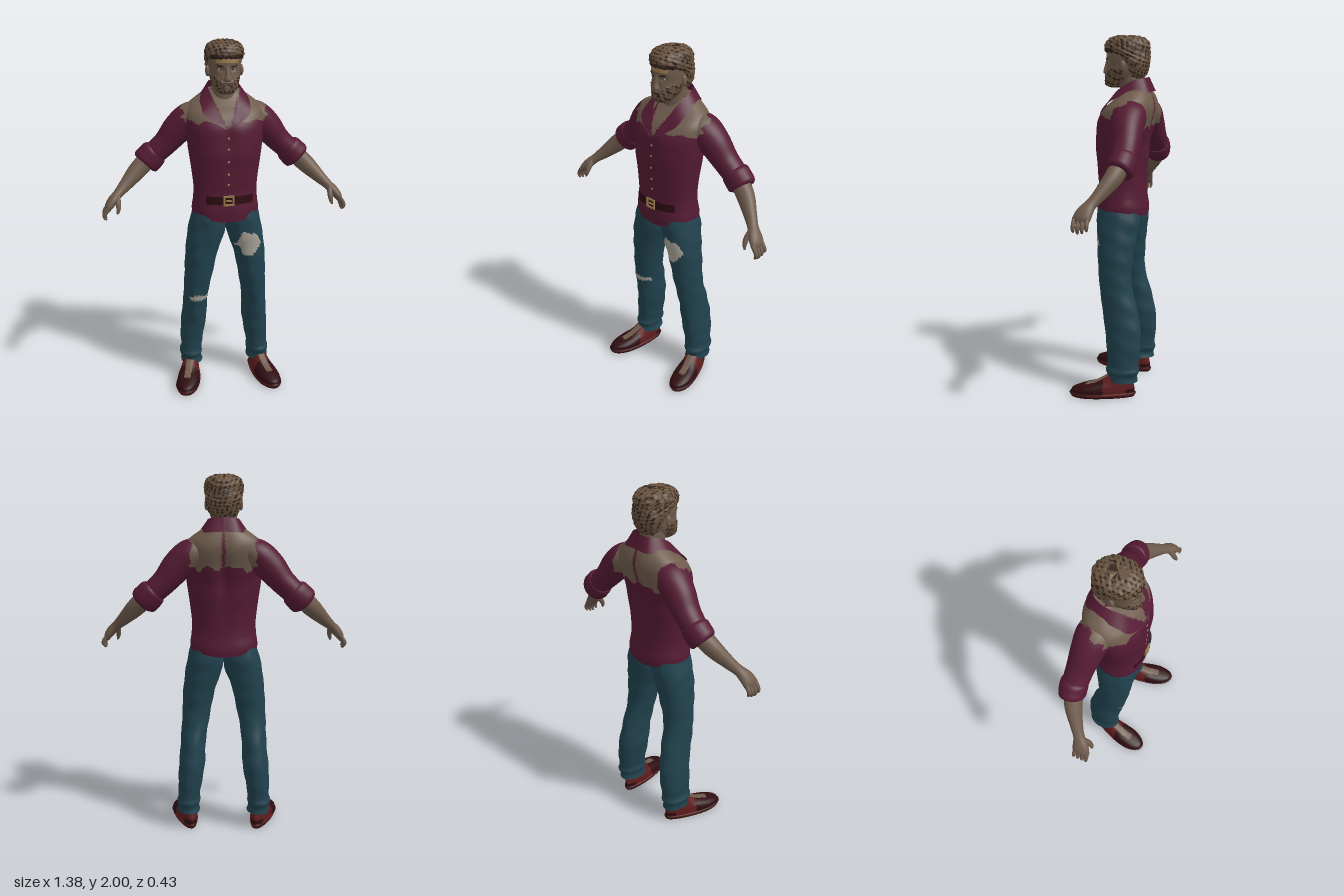
import * as THREE from 'three';

const mat = (name, color, side = THREE.FrontSide) =>
  Object.assign(new THREE.MeshStandardMaterial({ color, side }), { name });

const noise = (x, y, z, f = 1) =>
  (Math.sin(f * (53 * x + 17 * y)) + Math.sin(f * (61 * y - 29 * z) + 1) + Math.sin(f * (47 * z + 37 * x) + 2)) / 3;

// Smooth interpolation through rows of numbers
function spline(rows, sub) {
  const out = [], at = i => rows[Math.max(0, Math.min(rows.length - 1, i))];
  for (let i = 0; i < rows.length - 1; i++)
    for (let s = 0; s < sub; s++) {
      const u = s / sub;
      out.push(at(i).map((b, k) => {
        const a = at(i - 1)[k], c = at(i + 1)[k], d = at(i + 2)[k];
        return b + 0.5 * u * (c - a + u * (2 * a - 5 * b + 4 * c - d + u * (3 * (b - c) + d - a)));
      }));
    }
  out.push(at(rows.length - 1));
  return out;
}

// Closed skin over rows [x, y, z, radiusU, radiusV]; level rings, or rings across the path
function loft(rows, { seg = 32, sub = 6, power = 1, across = false, shape = null } = {}) {
  const R = spline(rows, sub), pos = [], idx = [];
  const centre = R.map(r => new THREE.Vector3(r[0], r[1], r[2]));
  const bend = v => Math.sign(v) * Math.abs(v) ** power;
  R.forEach((r, i) => {
    const T = new THREE.Vector3(0, 1, 0), V = new THREE.Vector3(0, 0, 1);
    if (across) {
      T.subVectors(centre[Math.min(i + 1, R.length - 1)], centre[Math.max(i - 1, 0)]).normalize();
      V.addScaledVector(T, -T.z).normalize();
    }
    const U = T.clone().cross(V);
    for (let j = 0; j < seg; j++) {
      const t = j / seg * Math.PI * 2;
      const p = centre[i].clone().addScaledVector(U, r[3] * bend(Math.sin(t))).addScaledVector(V, r[4] * bend(Math.cos(t)));
      if (shape) shape(p, centre[i]);
      pos.push(p.x, p.y, p.z);
    }
  });
  for (let i = 0; i < R.length - 1; i++)
    for (let j = 0; j < seg; j++) {
      const a = i * seg + j, b = i * seg + (j + 1) % seg;
      idx.push(a, b, a + seg, b, b + seg, a + seg);
    }
  // End caps with their own corners, so their edges stay crisp
  for (const [row, flip] of [[0, true], [R.length - 1, false]]) {
    const base = pos.length / 3;
    for (let j = 0; j < seg * 3; j++) pos.push(pos[row * seg * 3 + j]);
    pos.push(...centre[row].toArray());
    for (let j = 0; j < seg; j++) {
      const a = base + j, b = base + (j + 1) % seg;
      idx.push(base + seg, flip ? b : a, flip ? a : b);
    }
  }
  const g = new THREE.BufferGeometry();
  g.setAttribute('position', new THREE.Float32BufferAttribute(pos, 3));
  g.setIndex(idx);
  g.computeVertexNormals();
  return g;
}

// Sort faces into material groups by a rule on the face centre
function paint(g, count, pick) {
  const p = g.attributes.position, idx = g.index.array, bins = Array.from({ length: count }, () => []);
  for (let i = 0; i < idx.length; i += 3) {
    const f = [idx[i], idx[i + 1], idx[i + 2]];
    const mid = k => f.reduce((s, v) => s + p.array[v * 3 + k], 0) / 3;
    bins[pick(mid(0), mid(1), mid(2))].push(...f);
  }
  g.setIndex(bins.flat());
  let start = 0;
  bins.forEach((b, m) => { g.addGroup(start, b.length, m); start += b.length; });
  return g;
}

export function createModel() {
  const skin = mat('skin', 0x6e5b4c), shirt = mat('shirt', 0x551b33), denim = mat('denim', 0x21424e);
  const bare = mat('worn patch', 0xa8a398), leather = mat('dark leather', 0x2e0d10), red = mat('red leather', 0x5e1d1e);
  const hair = mat('hair', 0x69533f), dark = mat('dark hair', 0x33231b), brass = mat('brass', 0x9a7a4c);
  const collarCloth = mat('collar cloth', 0x551b33, THREE.DoubleSide);
  const model = new THREE.Group();
  model.name = 'man';
  const add = (name, geo, material, parent = model) => {
    const m = new THREE.Mesh(geo, material);
    m.name = name;
    parent.add(m);
    return m;
  };

  // Shirt with torn shoulders and open neck
  const torn = (x, y, z) => {
    const n = noise(x, y, z, 1.3) * 0.022, ax = Math.abs(x);
    const back = THREE.MathUtils.clamp((-z - 0.06) / 0.1, 0, 1);
    return y > 1.575 - 0.075 * back + n && ax < 0.232 - 0.05 * back + n && (back > 0.3 ? ax > 0.006 : ax > 0.07);
  };
  const torso = loft([
    [0, 1.015, -0.022, 0.188, 0.137], [0, 1.06, -0.022, 0.188, 0.138], [0, 1.13, -0.02, 0.181, 0.132],
    [0, 1.2, -0.02, 0.178, 0.128], [0, 1.32, -0.021, 0.192, 0.136], [0, 1.42, -0.024, 0.206, 0.143],
    [0, 1.5, -0.035, 0.212, 0.15], [0, 1.56, -0.05, 0.218, 0.151], [0, 1.61, -0.068, 0.216, 0.138],
    [0, 1.65, -0.088, 0.195, 0.112], [0, 1.69, -0.1, 0.145, 0.086], [0, 1.73, -0.105, 0.085, 0.062]],
  { seg: 112, sub: 9, power: 0.88, shape: (p, c) => {
    const mid = Math.exp(-((p.x / 0.035) ** 2));
    if (p.z < c.z) p.z += 0.018 * mid * Math.exp(-(((p.y - 1.48) / 0.16) ** 2));
    else p.z -= 0.006 * mid * Math.exp(-(((p.y - 1.48) / 0.09) ** 2));
    p.z += 0.003 * noise(p.x, p.y, p.z, 0.7);
    if (p.y < 1.12) p.y += (1.12 - p.y) * 3.5 * p.x * p.x / 0.36;
  } });
  add('shirt', paint(torso, 2, (x, y, z) =>
    torn(x, y, z) || (z > -0.06 && y > 1.535 && Math.abs(x) < (y - 1.53) * 0.42) ? 1 : 0), [shirt, skin]);

  // Collar: a folded band swept round the neck, mirrored
  const band = spline([
    [0, 1.775, -0.165, 0, 1.7, -0.188], [0.06, 1.77, -0.15, 0.09, 1.695, -0.18],
    [0.088, 1.755, -0.09, 0.135, 1.69, -0.09], [0.078, 1.71, -0.015, 0.135, 1.655, 0.005],
    [0.055, 1.645, 0.045, 0.118, 1.605, 0.068], [0.008, 1.535, 0.112, 0.016, 1.54, 0.115]], 5);
  for (const s of [1, -1]) {
    const pos = band.flatMap(r => [r[0] * s, r[1], r[2], r[3] * s, r[4], r[5]]), idx = [];
    for (let i = 0; i < band.length - 1; i++) {
      const a = i * 2;
      idx.push(...(s > 0 ? [a, a + 1, a + 2, a + 1, a + 3, a + 2] : [a, a + 2, a + 1, a + 1, a + 2, a + 3]));
    }
    const g = new THREE.BufferGeometry();
    g.setAttribute('position', new THREE.Float32BufferAttribute(pos, 3));
    g.setIndex(idx);
    g.computeVertexNormals();
    add('collar', g, collarCloth);
  }

  // Belt across the front, buckle and buttons
  const belt = new THREE.CylinderGeometry(1, 1, 0.048, 32, 1, true, -0.68, 1.5);
  const bp = belt.attributes.position, bow = v => Math.sign(v) * Math.abs(v) ** 0.88;
  for (let i = 0; i < bp.count; i++)
    bp.setXYZ(i, 0.186 * bow(bp.getX(i)), bp.getY(i) + 1.143, -0.02 + 0.139 * bow(bp.getZ(i)));
  belt.computeVertexNormals();
  add('belt', belt, leather);
  for (const [w, h, x, y] of [[0.06, 0.01, 0, 0.024], [0.06, 0.01, 0, -0.024], [0.01, 0.05, 0.026, 0], [0.01, 0.05, -0.026, 0], [0.03, 0.008, 0, 0]])
    add('buckle', new THREE.BoxGeometry(w, h, 0.008), brass).position.set(x, 1.143 + y, 0.122);
  for (const [y, z] of [[1.23, 0.11], [1.29, 0.113], [1.36, 0.117], [1.43, 0.117], [1.49, 0.112]]) {
    const b = add('button', new THREE.SphereGeometry(0.007, 10, 8), brass);
    b.position.set(0, y, z);
    b.scale.z = 0.5;
  }

  // Jeans, with a worn left thigh and right knee
  for (const s of [1, -1]) {
    const leg = loft([
      [0.2, 0.095, -0.072, 0.064, 0.088], [0.203, 0.125, -0.072, 0.059, 0.085], [0.203, 0.155, -0.072, 0.066, 0.094],
      [0.2, 0.185, -0.074, 0.06, 0.088], [0.195, 0.25, -0.075, 0.066, 0.093], [0.183, 0.37, -0.07, 0.073, 0.1],
      [0.174, 0.5, -0.05, 0.07, 0.098], [0.158, 0.65, -0.02, 0.078, 0.09], [0.14, 0.8, -0.016, 0.091, 0.1],
      [0.112, 0.92, -0.018, 0.104, 0.114], [0.1, 1.0, -0.02, 0.1, 0.121], [0.095, 1.08, -0.02, 0.085, 0.11]].map(r => [r[0] * s, ...r.slice(1)]),
    { seg: 64, sub: 9, power: 0.95, shape: p => {
      const n = 0.004 * noise(p.x, p.y, p.z, 0.9);
      p.x += n;
      p.z -= n;
    } });
    add('trouserLeg', paint(leg, 2, (x, y, z) => {
      const n = noise(x, y, z, 1.6);
      if (s > 0) return z > 0 && Math.hypot((x - 0.122) / 0.066, (y - 0.872) / 0.072) < 1 + 0.2 * n ? 1 : 0;
      return z > -0.03 && Math.abs(y - 0.538) < 0.015 + 0.009 * n && Math.abs(x + 0.163) < 0.052 ? 1 : 0;
    }), [denim, bare]);
  }

  // Arms, hands and shoes, built on the left and mirrored
  for (const s of [1, -1]) {
    const side = new THREE.Group();
    side.name = s > 0 ? 'leftLimbs' : 'rightLimbs';
    side.scale.x = s;
    model.add(side);
    const limb = (name, rows, m, opt = {}) => add(name, loft(rows, { across: true, seg: 24, ...opt }), m, side);

    const sleeve = loft([[0.1, 1.6, -0.09, 0.06, 0.08], [0.18, 1.575, -0.1, 0.082, 0.095], [0.25, 1.51, -0.11, 0.084, 0.086],
      [0.32, 1.428, -0.12, 0.07, 0.074], [0.4, 1.355, -0.125, 0.064, 0.068]], { across: true, seg: 48, sub: 12 });
    add('sleeve', paint(sleeve, 2, (x, y, z) => torn(x, y, z) ? 1 : 0), [shirt, skin], side);
    limb('rolledCuff', [[0.375, 1.383, -0.126, 0.062, 0.065], [0.385, 1.373, -0.126, 0.077, 0.073], [0.41, 1.345, -0.125, 0.081, 0.074],
      [0.435, 1.322, -0.122, 0.08, 0.071], [0.445, 1.312, -0.12, 0.064, 0.062]], shirt);
    limb('forearm', [[0.4, 1.36, -0.125, 0.05, 0.052], [0.48, 1.285, -0.097, 0.051, 0.047], [0.555, 1.212, -0.05, 0.036, 0.034],
      [0.597, 1.173, -0.02, 0.027, 0.031], [0.628, 1.142, 0, 0.027, 0.042], [0.652, 1.11, 0.012, 0.023, 0.046], [0.66, 1.085, 0.015, 0.012, 0.038]], skin);
    for (let k = 0; k < 4; k++) {
      const z = -0.02 + k * 0.023, l = [0.85, 1, 1.05, 0.95][k];
      limb('finger', [[0.65, 1.115, z, 0.012, 0.011], [0.673, 1.115 - 0.035 * l, z, 0.012, 0.011],
        [0.678, 1.115 - 0.058 * l, z, 0.011, 0.01], [0.668, 1.115 - 0.075 * l, z + 0.002, 0.005, 0.005]], skin, { seg: 10, sub: 4 });
    }
    limb('thumb', [[0.605, 1.165, 0.005, 0.016, 0.018], [0.6, 1.13, 0.035, 0.015, 0.016], [0.602, 1.1, 0.05, 0.012, 0.012],
      [0.608, 1.075, 0.055, 0.005, 0.006]], skin, { seg: 10, sub: 4 });

    const shoe = loft([[0, 0, 0.03, 0.066, 0.178], [0, 0.02, 0.03, 0.074, 0.188], [0, 0.026, 0.03, 0.068, 0.18], [0, 0.045, 0.025, 0.068, 0.175],
      [0, 0.065, 0.0, 0.064, 0.147], [0, 0.085, -0.035, 0.058, 0.107], [0, 0.125, -0.07, 0.05, 0.074]],
    { seg: 64, sub: 5, power: 0.92, shape: p => { p.x *= THREE.MathUtils.clamp(0.86 + p.z * 1.3, 0.72, 1.03); } });
    const sh = add('shoe', paint(shoe, 3, (x, y, z) => {
      if (y > 0.07 && z > -0.01 && Math.abs(x) < 0.02) return 2;
      if (y < 0.022) return y < 0.01 ? 1 : 0;
      return z > 0.035 + 0.01 * noise(x, y, z) || (z < -0.1 && y < 0.05) ? 1 : 0;
    }), [red, leather, skin], side);
    sh.position.set(0.218, 0, 0.008);
    sh.rotation.y = 0.24;
  }

  // Neck and head, with a painted beard and brow
  add('neck', loft([[0, 1.6, -0.06, 0.07, 0.09], [0, 1.68, -0.075, 0.067, 0.07], [0, 1.8, -0.06, 0.067, 0.07]]), skin);
  const isBeard = (x, y, z) => z > -0.04 && y < 1.768 + Math.min(0.05, Math.abs(x) * 0.7) + 0.006 * noise(x, y, z, 3);
  const head = loft([[0, 1.718, 0.015, 0.03, 0.035], [0, 1.732, 0.012, 0.05, 0.063], [0, 1.76, -0.008, 0.068, 0.085],
    [0, 1.8, -0.025, 0.081, 0.099], [0, 1.84, -0.034, 0.085, 0.103], [0, 1.88, -0.036, 0.089, 0.109], [0, 1.93, -0.04, 0.088, 0.108]],
  { seg: 80, sub: 8, power: 0.94, shape: p => {
    if (isBeard(p.x, p.y, p.z)) p.z += 0.004 + 0.003 * noise(p.x, p.y, p.z, 6);
    const eye = Math.hypot((Math.abs(p.x) - 0.034) / 0.022, (p.y - 1.852) / 0.016);
    if (p.z > 0 && eye < 1) p.z -= 0.012 * (1 - eye);
  } });
  add('head', paint(head, 4, (x, y, z) => {
    if (z > 0.02 && Math.abs(y - 1.771) < 0.004 && Math.abs(x) < 0.026) return 2;
    if (isBeard(x, y, z)) return noise(x, y, z, 5) < -0.3 ? 2 : 1;
    return z > 0.02 && Math.abs(y - 1.894) < 0.009 && Math.abs(x) < 0.058 ? 3 : 0;
  }), [skin, hair, dark, brass]);
  add('nose', loft([[0, 1.79, 0.07, 0.016, 0.012], [0, 1.8, 0.071, 0.021, 0.023], [0, 1.83, 0.069, 0.012, 0.018], [0, 1.872, 0.066, 0.01, 0.008]], { seg: 16 }), skin);
  add('moustache', loft([[-0.036, 1.772, 0.062, 0.004, 0.006], [0, 1.784, 0.076, 0.008, 0.008], [0.036, 1.772, 0.062, 0.004, 0.006]], { across: true, seg: 12 }), hair);
  for (const s of [1, -1]) {
    const ball = (name, m, p, k) => {
      const b = add(name, new THREE.SphereGeometry(1, 16, 12), m);
      b.position.set(p[0] * s, p[1], p[2]);
      b.scale.set(...k);
      return b;
    };
    ball('eye', bare, [0.034, 1.852, 0.05], [0.013, 0.007, 0.008]);
    ball('pupil', dark, [0.034, 1.852, 0.056], [0.005, 0.006, 0.004]);
    ball('eyebrow', dark, [0.036, 1.872, 0.059], [0.023, 0.006, 0.009]).rotation.set(0, 0.4 * s, 0.12 * s);
    ball('ear', skin, [0.093, 1.835, -0.04], [0.012, 0.03, 0.018]);
  }

  // Tousled hair
  const mop = loft([[0, 1.765, -0.1, 0.05, 0.035], [0, 1.8, -0.1, 0.08, 0.055], [0, 1.85, -0.097, 0.096, 0.07], [0, 1.89, -0.07, 0.101, 0.1],
    [0, 1.912, -0.046, 0.104, 0.122], [0, 1.95, -0.044, 0.103, 0.123], [0, 1.98, -0.042, 0.084, 0.1], [0, 1.996, -0.04, 0.04, 0.05]],
  { seg: 88, sub: 8, shape: (p, c) => {
    const k = 1 + 0.045 * noise(p.x, p.y, p.z, 4) + 0.02 * noise(p.z, p.x, p.y, 9);
    p.x *= k;
    p.z = c.z + (p.z - c.z) * k;
    p.y += 0.004 * noise(p.z, p.x, p.y, 4);
  } });
  add('hair', paint(mop, 2, (x, y, z) =>
    noise(x, y, z, 5) < -0.28 || (z > 0.02 && y < 1.928) ? 1 : 0), [hair, dark]);
  return model;
}
